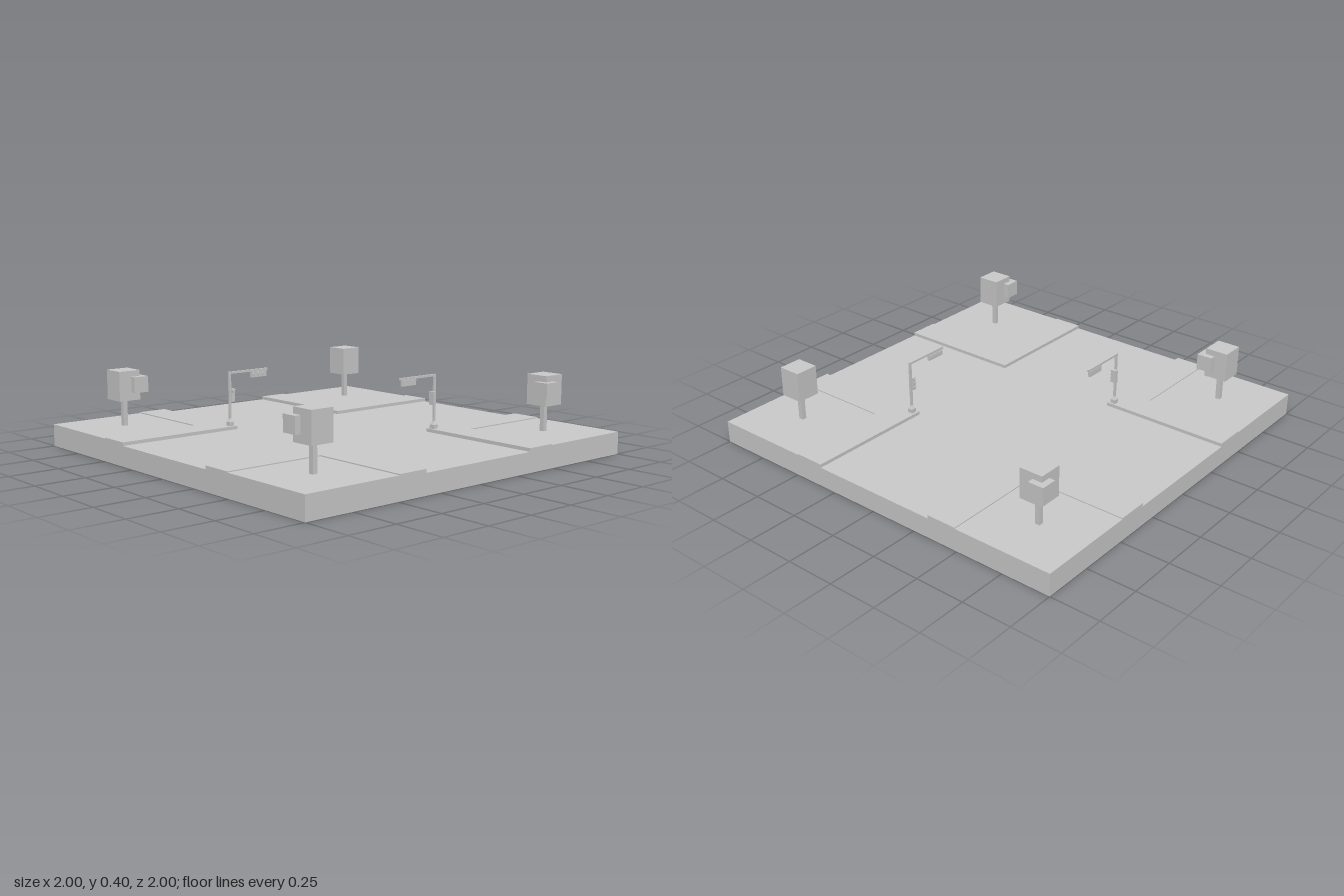
import * as THREE from 'three';

const material = new THREE.MeshStandardMaterial({ color: 0xcccccc, flatShading: true });

function add(parent, name, geometry, x, y, z) {
  const mesh = new THREE.Mesh(geometry, material);
  mesh.name = name;
  mesh.position.set(x, y, z);
  parent.add(mesh);
  return mesh;
}

// Box given by its min and max along each axis
function box(parent, name, [x0, x1], [y0, y1], [z0, z1]) {
  return add(parent, name, new THREE.BoxGeometry(x1 - x0, y1 - y0, z1 - z0),
    (x0 + x1) / 2, (y0 + y1) / 2, (z0 + z1) / 2);
}

const ROAD = 0.1, LAWN = 0.112, WALK = 0.117;
const CURB = 0.335, INNER = 0.49;

// Corner block: L-shaped pavement around a slightly lower lawn
function corner(sx, sz) {
  const group = new THREE.Group();
  group.name = 'cornerBlock';
  const span = (s, a, b) => (s > 0 ? [a, b] : [-b, -a]);
  box(group, 'lawn', span(sx, INNER, 1), [ROAD, LAWN], span(sz, INNER, 1));
  box(group, 'pavement', span(sx, CURB, INNER), [ROAD, WALK], span(sz, CURB, 1));
  box(group, 'pavement', span(sx, INNER, 1), [ROAD, WALK], span(sz, CURB, INNER));
  return group;
}

// Tree with a square trunk, a large crown block and a small offset one
function tree(x, z, ox, oz) {
  const group = new THREE.Group();
  group.name = 'tree';
  group.position.set(x, 0, z);
  add(group, 'trunk', new THREE.BoxGeometry(0.024, 0.14, 0.024), 0, 0.18, 0);
  add(group, 'crown', new THREE.BoxGeometry(0.118, 0.15, 0.118), 0, 0.32, 0);
  add(group, 'sideFoliage', new THREE.BoxGeometry(0.08, 0.08, 0.08), ox * 0.049, 0.325, oz * 0.049);
  return group;
}

// Traffic light: pole, arm toward -x, signals facing -z
function trafficLight() {
  const group = new THREE.Group();
  group.name = 'trafficLight';
  const px = 0.359, pz = 0.362;
  box(group, 'foot', [px - 0.014, px + 0.014], [LAWN, 0.137], [pz - 0.014, pz + 0.014]);
  const taper = new THREE.CylinderGeometry(0.007, 0.0195, 0.018, 4).rotateY(Math.PI / 4);
  add(group, 'footTaper', taper, px, 0.146, pz);
  box(group, 'pole', [px - 0.006, px + 0.006], [0.137, 0.39], [pz - 0.005, pz + 0.005]);
  box(group, 'arm', [0.122, px], [0.379, 0.39], [pz - 0.005, pz + 0.005]);

  // Hanging signal and pole signal, each with three hooded lamps
  box(group, 'hangingSignal', [0.131, 0.226], [0.349, 0.379], [pz - 0.006, pz + 0.007]);
  box(group, 'poleSignal', [0.336, 0.354], [0.238, 0.305], [pz - 0.012, pz + 0.017]);
  for (let i = -1; i <= 1; i++) {
    const hx = 0.1785 + i * 0.03;
    box(group, 'hood', [hx - 0.01, hx + 0.01], [0.372, 0.375], [pz - 0.011, pz - 0.006]);
    const lens = new THREE.CylinderGeometry(0.009, 0.009, 0.003, 8).rotateX(Math.PI / 2);
    add(group, 'lens', lens, hx, 0.363, pz - 0.007);
    const hy = 0.2715 + i * 0.021;
    box(group, 'hood', [0.338, 0.352], [hy + 0.006, hy + 0.009], [pz - 0.018, pz - 0.012]);
    const small = new THREE.CylinderGeometry(0.006, 0.006, 0.003, 8).rotateX(Math.PI / 2);
    add(group, 'lens', small, 0.345, hy, pz - 0.013);
  }
  return group;
}

export function createModel() {
  const model = new THREE.Group();
  model.name = 'crossroads';
  box(model, 'roadBase', [-1, 1], [0, ROAD], [-1, 1]);
  for (const sx of [-1, 1]) for (const sz of [-1, 1]) model.add(corner(sx, sz));

  // Each tree: corner signs, then the direction of its small foliage block
  const trees = [[1, 1, -1, 1], [1, -1, 1, -1], [-1, -1, 1, 1], [-1, 1, -1, -1]];
  for (const [sx, sz, ox, oz] of trees) model.add(tree(sx * 0.741, sz * 0.741, ox, oz));

  // Two lights at opposite corners
  for (const angle of [0, Math.PI]) {
    const light = trafficLight();
    light.rotation.y = angle;
    model.add(light);
  }
  return model;
}
